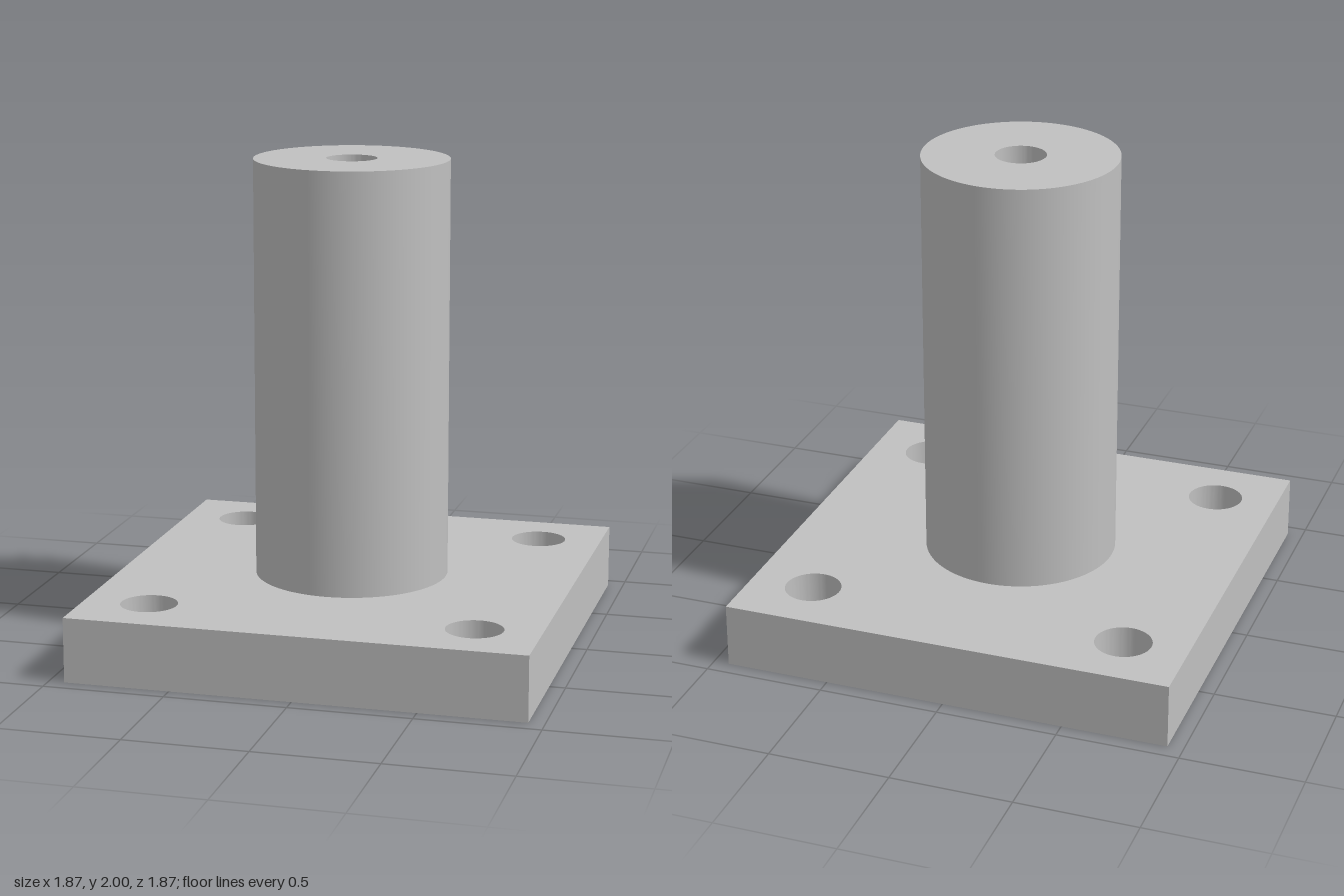
import * as THREE from 'three';
import { toCreasedNormals } from 'three/addons/utils/BufferGeometryUtils.js';

const HALF = 0.935, THICK = 0.267, HEIGHT = 2;
const COLUMN_R = 0.4, BORE_R = 0.104, BOLT_R = 0.116, BOLT_POS = 0.667;
const CREASE = Math.PI / 6;

export function createModel() {
  const model = new THREE.Group();
  model.name = 'flangedColumn';

  const steel = new THREE.MeshStandardMaterial({ color: 0xc0c0c0 });
  steel.name = 'plain grey steel';

  const add = (name, geometry) => {
    const mesh = new THREE.Mesh(toCreasedNormals(geometry, CREASE), steel);
    mesh.name = name;
    model.add(mesh);
  };

  // Square base plate with four bolt holes and the central bore
  const outline = new THREE.Shape([
    new THREE.Vector2(-HALF, -HALF), new THREE.Vector2(HALF, -HALF),
    new THREE.Vector2(HALF, HALF), new THREE.Vector2(-HALF, HALF),
  ]);
  const drill = (x, y, r) => outline.holes.push(new THREE.Path().absarc(x, y, r, 0, Math.PI * 2, true));
  drill(0, 0, BORE_R);
  for (const sx of [-1, 1]) for (const sy of [-1, 1]) drill(sx * BOLT_POS, sy * BOLT_POS, BOLT_R);
  const plate = new THREE.ExtrudeGeometry(outline, { depth: THICK, bevelEnabled: false, curveSegments: 48 });
  plate.rotateX(-Math.PI / 2);
  add('basePlate', plate);

  // Hollow column: outer wall, top ring and bore wall, continuing the plate's bore
  const profile = [
    [COLUMN_R, THICK], [COLUMN_R, HEIGHT], [BORE_R, HEIGHT], [BORE_R, THICK],
  ].map(([r, y]) => new THREE.Vector2(r, y));
  add('column', new THREE.LatheGeometry(profile, 96));

  return model;
}
